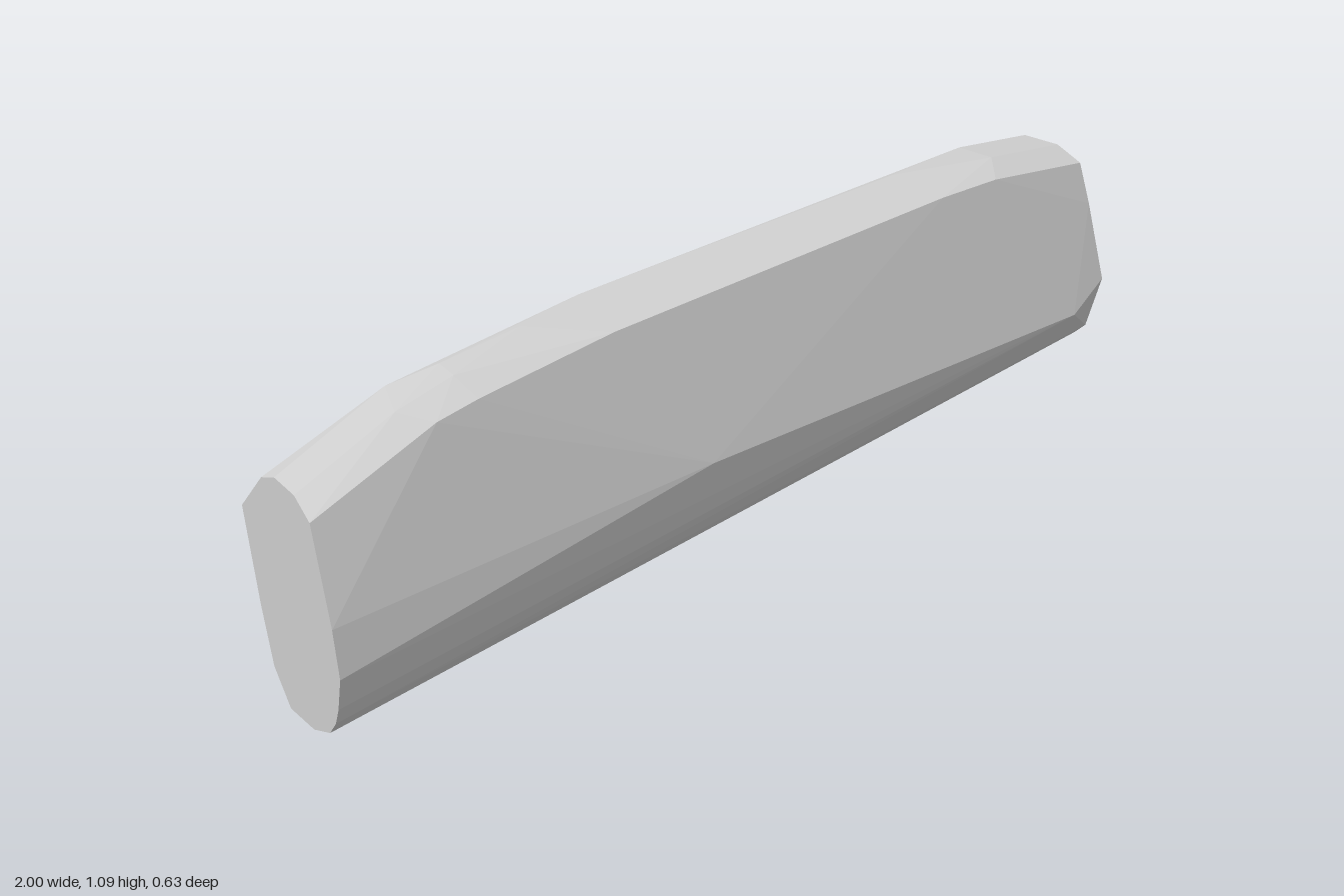
import * as THREE from 'three';
import { ConvexGeometry } from 'three/addons/geometries/ConvexGeometry.js';

// outline of each end, as [z, y]
const lowEnd = [
  [-0.315, 0.425], [-0.145, 0.573], [-0.05, 0.615], [0.08, 0.63], [0.17, 0.605],
  [0.26, 0.39], [0.287, 0.28], [0.26, 0.19], [0.235, 0.14], [0.19, 0.09],
  [0.08, 0.035], [-0.08, 0], [-0.18, 0.06], [-0.24, 0.195],
];
const highEnd = [
  [-0.315, 0.9], [-0.13, 1.04], [-0.05, 1.077], [0.08, 1.09], [0.17, 1.07],
  [0.215, 0.98], [0.287, 0.81], [0.24, 0.67], [0.2, 0.635], [0.12, 0.575],
  [0.08, 0.555], [-0.08, 0.53], [-0.175, 0.56], [-0.22, 0.66], [-0.28, 0.79],
];

// long edges that bulge between the ends, as [x, y] at a given z
const ridges = [
  { z: -0.315, path: [[-0.706, 0.59], [-0.065, 0.757], [0.73, 0.9]] },
  { z: -0.05, path: [[-0.73, 0.775], [-0.25, 0.897], [0.8, 1.077]] },
  { z: 0.0, path: [[-0.62, 0.825], [-0.42, 0.873], [-0.25, 0.905], [0.57, 1.06]] },
  { z: 0.08, path: [[-0.76, 0.772], [-0.62, 0.828], [0.8, 1.09]] },
  { z: 0.168, path: [[-0.7, 0.77], [-0.6, 0.803], [-0.27, 0.89], [0.6, 1.05], [0.75, 1.069]] },
  { z: 0.315, path: [[-0.1, 0.59], [0.9, 0.745]] },
];

export function createModel() {
  const points = [];
  for (const [z, y] of lowEnd) points.push(new THREE.Vector3(-1, y, z));
  for (const [z, y] of highEnd) points.push(new THREE.Vector3(1, y, z));
  for (const { z, path } of ridges) {
    for (const [x, y] of path) points.push(new THREE.Vector3(x, y, z));
  }

  // faceted slanted bar wrapped around the outlines and ridges
  const bar = new THREE.Mesh(
    new ConvexGeometry(points),
    new THREE.MeshStandardMaterial({ color: 0xcccccc, flatShading: true }),
  );
  bar.name = 'slantedBar';

  const group = new THREE.Group();
  group.name = 'facetedBar';
  group.add(bar);
  return group;
}
